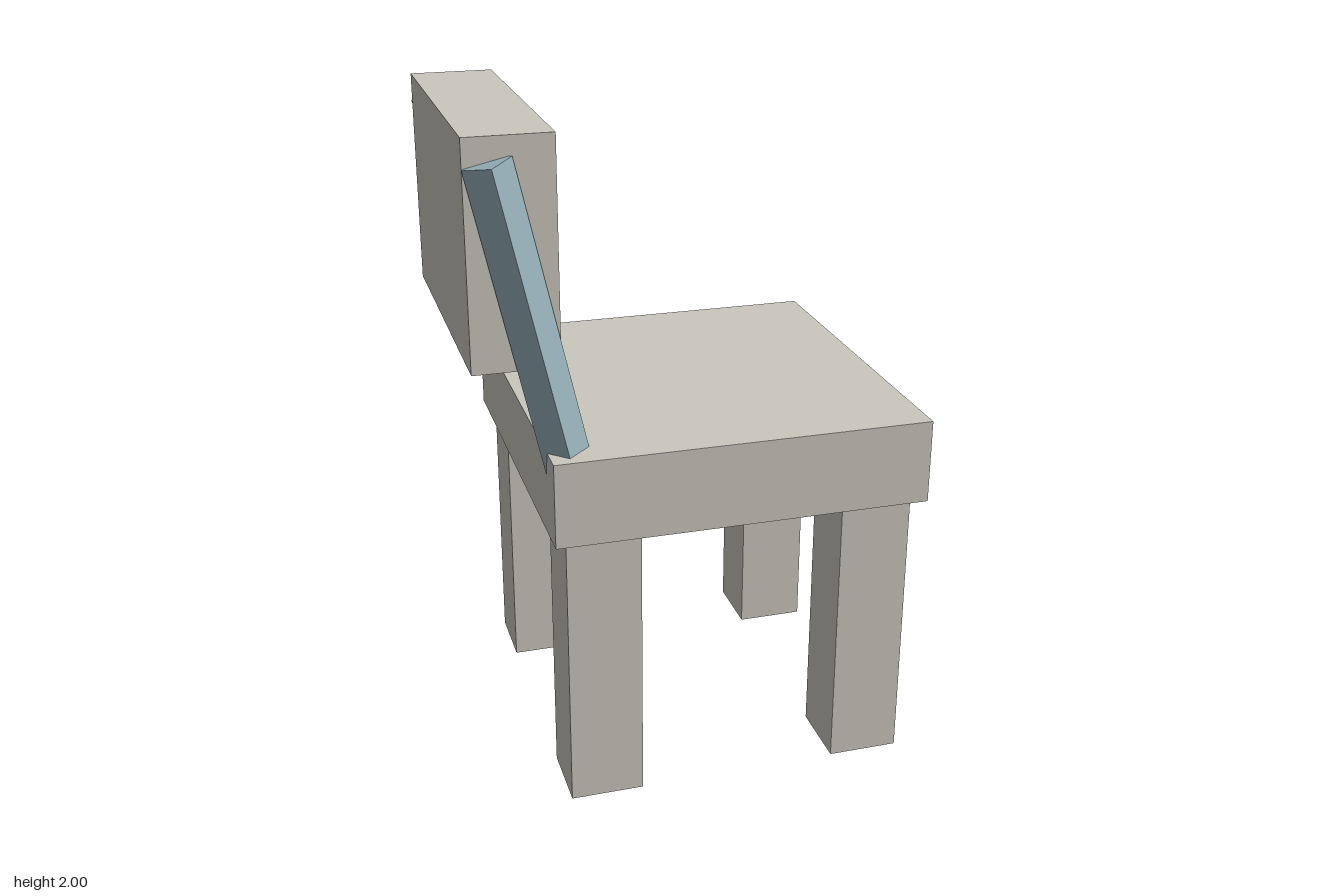
import * as THREE from 'three';

export function createModel() {
  const model = new THREE.Group();
  model.name = 'chair';

  const beige = new THREE.MeshStandardMaterial({ color: 0xcbc7be });
  beige.name = 'warm beige';
  const blue = new THREE.MeshStandardMaterial({ color: 0x98b2bb });
  blue.name = 'pale blue';

  // Box given by its limits on each axis
  function box(name, [x0, x1], [y0, y1], [z0, z1]) {
    const mesh = new THREE.Mesh(new THREE.BoxGeometry(x1 - x0, y1 - y0, z1 - z0), beige);
    mesh.position.set((x0 + x1) / 2, (y0 + y1) / 2, (z0 + z1) / 2);
    mesh.name = name;
    model.add(mesh);
  }

  box('seat', [-0.465, 0.657], [0.86, 1.115], [-0.572, 0.572]);
  box('backrest', [-0.66, -0.412], [1.355, 2], [-0.463, 0.463]);

  // Four square legs
  for (const [end, xs] of [['back', [-0.43, -0.21]], ['front', [0.4, 0.615]]]) {
    box(end + 'LegLeft', xs, [0, 0.86], [-0.542, -0.325]);
    box(end + 'LegRight', xs, [0, 0.86], [0.325, 0.542]);
  }

  // Leaning posts with a diamond section, sunk into the seat
  const lean = 0.221, length = 0.95, radius = 0.068;
  const postGeometry = new THREE.CylinderGeometry(radius, radius, length, 4).toNonIndexed();
  postGeometry.computeVertexNormals();
  postGeometry.translate(0, -length / 2, 0);
  for (const side of [-1, 1]) {
    const post = new THREE.Mesh(postGeometry, blue);
    post.position.set(-0.595, 1.932, side * 0.472);
    post.rotation.z = lean;
    post.name = side < 0 ? 'backPostLeft' : 'backPostRight';
    model.add(post);
  }

  return model;
}
